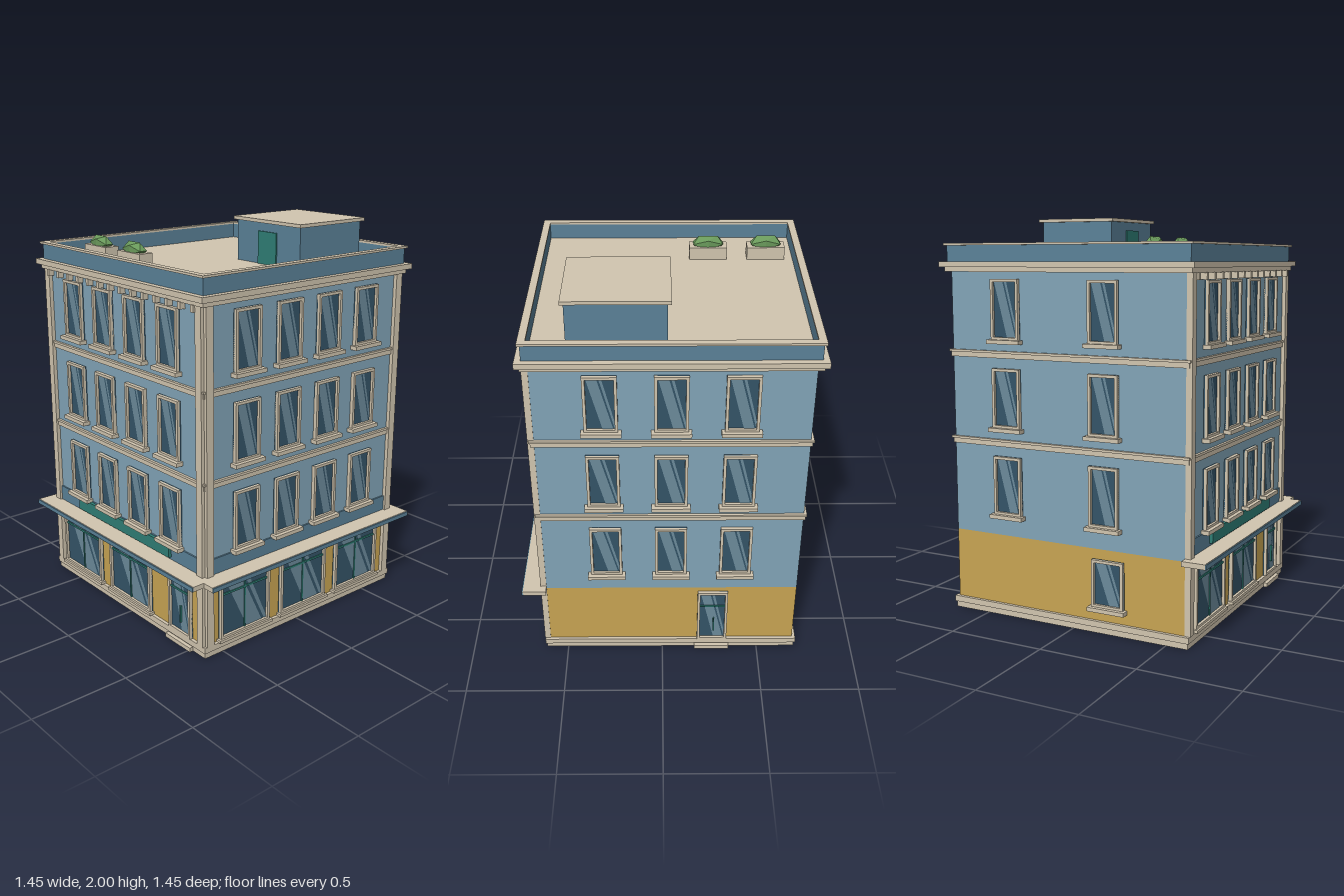
import * as THREE from 'three';

const mat = (color) => new THREE.MeshStandardMaterial({ color });
const M = {
  wall: mat(0x82a5b8), darkBlue: mat(0x5b8299), shop: mat(0xc9a553), trim: mat(0xd2c6b0),
  glass: mat(0x345468), glint: mat(0x6c8b9b), teal: mat(0x2f7f76), leaf: mat(0x6a9a5b),
};
const C = -0.043;   // centre of the block in x and z
const H = 0.645;    // half width of the block

function add(parent, name, geometry, material, x = 0, y = 0, z = 0) {
  const m = new THREE.Mesh(geometry, material);
  m.name = name;
  m.position.set(x, y, z);
  parent.add(m);
  return m;
}
// box given by its extents
const box = (parent, name, material, x0, x1, y0, y1, z0, z1) =>
  add(parent, name, new THREE.BoxGeometry(x1 - x0, y1 - y0, z1 - z0), material,
    (x0 + x1) / 2, (y0 + y1) / 2, (z0 + z1) / 2);
// square slab centred on the block
const slab = (parent, name, material, half, y0, y1) =>
  box(parent, name, material, -half, half, y0, y1, -half, half);

const poly = (pts) => new THREE.Shape(pts.map(([x, y]) => new THREE.Vector2(x, y)));
const rect = (w, h) => [[-w / 2, 0], [w / 2, 0], [w / 2, h], [-w / 2, h]];

// rectangular ring, extruded along +z, standing on y = 0
function ring(w, h, t, depth) {
  const s = poly(rect(w, h));
  s.holes.push(poly(rect(w - 2 * t, h - 2 * t).map(([x, y]) => [x, y + t])));
  return new THREE.ExtrudeGeometry(s, { depth, bevelEnabled: false });
}

// dark pane with two slanted reflections
function pane(g, w, h) {
  box(g, 'glass', M.glass, -w / 2, w / 2, 0, h, -0.01, 0.006);
  const stripe = (a, b, c, d) => add(g, 'glassReflection', new THREE.ShapeGeometry(
    poly([[a * w, 0.04 * h], [b * w, 0.04 * h], [d * w, 0.97 * h], [c * w, 0.97 * h]])), M.glint, 0, 0, 0.0075);
  stripe(0.05, 0.36, -0.40, -0.09);
  stripe(0.41, 0.47, -0.03, 0.05);
}

function opening(face, name, u, y) {
  const g = new THREE.Group();
  g.name = name;
  g.position.set(u, y, H);
  face.add(g);
  return g;
}

// sash window with frame and sill
function sashWindow(face, u, y, w = 0.157, h = 0.295) {
  const g = opening(face, 'window', u, y);
  pane(g, w, h);
  add(g, 'windowFrame', ring(w, h, 0.014, 0.02), M.trim);
  box(g, 'windowSill', M.trim, -w / 2 - 0.015, w / 2 + 0.015, -0.018, 0.002, 0, 0.04);
}

// wide shop window with teal glazing bars
function shopWindow(face, u, w) {
  const g = opening(face, 'shopWindow', u, 0.07);
  const h = 0.325;
  pane(g, w, h);
  add(g, 'shopWindowFrame', ring(w, h, 0.015, 0.02), M.trim);
  box(g, 'transom', M.teal, -w / 2 + 0.015, w / 2 - 0.015, 0.23, 0.24, 0, 0.012);
  box(g, 'mullion', M.teal, -0.004, 0.004, 0.015, 0.31, 0, 0.012);
  box(g, 'shopWindowSill', M.trim, -w / 2 - 0.012, w / 2 + 0.012, -0.012, 0.003, 0, 0.03);
}

// glazed door with transom, handle and step
function door(face, u, w) {
  const g = opening(face, 'door', u, 0.06);
  const h = 0.33;
  pane(g, w, h);
  add(g, 'doorFrame', ring(w, h, 0.013, 0.02), M.trim);
  box(g, 'doorTransom', M.teal, -w / 2 + 0.013, w / 2 - 0.013, 0.226, 0.236, 0, 0.012);
  box(g, 'doorHandle', M.teal, 0.004, 0.011, 0.06, 0.15, 0, 0.018);
  box(g, 'doorStep', M.trim, -w / 2 - 0.013, w / 2 + 0.013, -0.06, -0.038, -0.01, 0.03);
}

export function createModel() {
  const model = new THREE.Group();
  model.name = 'cornerBuilding';
  const block = new THREE.Group();
  block.name = 'block';
  block.position.set(C, 0, C);
  model.add(block);

  // main masses, belt courses and cornice
  slab(block, 'footing', M.trim, 0.655, 0, 0.03);
  slab(block, 'plinth', M.trim, 0.662, 0.03, 0.06);
  slab(block, 'groundFloorWalls', M.shop, H, 0.06, 0.415);
  slab(block, 'upperWalls', M.wall, H, 0.415, 1.745);
  for (const y of [0.867, 1.306]) {
    slab(block, 'beltCourse', M.trim, H + 0.008, y, y + 0.024);
    slab(block, 'beltCourseTop', M.trim, H + 0.014, y + 0.024, y + 0.036);
  }
  slab(block, 'corniceMoulding', M.trim, 0.67, 1.725, 1.748);
  slab(block, 'corniceAndRoof', M.trim, 0.69, 1.748, 1.775);

  // hollow parapet with coping
  const flatRing = (name, half, t, y, d, m) => {
    const r = add(block, name, ring(2 * half, 2 * half, t, d), m, 0, y, half);
    r.rotation.x = -Math.PI / 2;
  };
  flatRing('parapet', 0.66, 0.022, 1.775, 0.08, M.darkBlue);
  flatRing('parapetCoping', 0.672, 0.036, 1.853, 0.011, M.trim);

  // four facades: local x runs along the wall, local z points outward
  const [front, right, back, left] = ['front', 'right', 'back', 'left'].map((n, i) => {
    const f = new THREE.Group();
    f.name = n + 'Facade';
    f.rotation.y = i * Math.PI / 2;
    block.add(f);
    return f;
  });

  // upper windows, floor by floor
  const street = [-1.5, -0.5, 0.5, 1.5].map((k) => k * 0.263);
  const columns = [[front, street], [right, street], [back, [-0.3225, 0, 0.3225]], [left, [-0.325, 0.215]]];
  for (const y of [0.523, 0.961, 1.396])
    for (const [face, us] of columns) us.forEach((u) => sashWindow(face, u, y));

  // ground floor openings
  [-0.397, 0.045].forEach((u) => shopWindow(front, u, 0.355));
  [-0.402, -0.005, 0.39].forEach((u) => shopWindow(right, u, 0.32));
  door(front, 0.463, 0.17);
  door(back, 0.217, 0.155);
  sashWindow(left, 0.235, 0.13, 0.17, 0.235);

  // street sides: corner pilasters, fascia band and canopy
  for (const f of [front, right]) {
    for (const s of [-1, 1])
      box(f, 'pilaster', M.trim, s * 0.627 - 0.021, s * 0.627 + 0.021, 0.06, 1.726, H - 0.01, H + 0.02);
    box(f, 'fasciaBand', M.darkBlue, -0.606, 0.606, 0.43, 0.51, H - 0.01, H + 0.008);
    box(f, 'canopy', M.trim, -0.69, 0.69, 0.405, 0.43, H - 0.01, 0.752);
    box(f, 'canopyEdge', M.darkBlue, -0.69, 0.69, 0.405, 0.427, 0.75, 0.758);
  }
  box(front, 'signBoard', M.teal, -0.402, 0.395, 0.443, 0.508, H, H + 0.024);

  // bracket row under the front cornice
  for (let i = 0; i < 14; i++) {
    const u = -0.598 + i * 0.092;
    box(front, 'corniceBracket', M.trim, u - 0.01, u + 0.01, 1.694, 1.728, H, H + 0.03);
  }

  // rooftop stair house
  const hut = new THREE.Group();
  hut.name = 'stairHouse';
  model.add(hut);
  box(hut, 'stairHouseWalls', M.darkBlue, -0.027, 0.432, 1.77, 1.985, -0.566, -0.143);
  box(hut, 'stairHouseRoof', M.trim, -0.043, 0.447, 1.983, 2, -0.583, -0.128);
  box(hut, 'stairHouseDoor', M.teal, 0.135, 0.268, 1.775, 1.94, -0.15, -0.136);

  // rooftop planters
  const bush = new THREE.IcosahedronGeometry(1, 0);
  const leaf = M.leaf.clone();
  leaf.flatShading = true;
  for (const x of [-0.541, -0.243]) {
    box(model, 'planter', M.trim, x - 0.097, x + 0.097, 1.775, 1.84, 0.32, 0.401);
    add(model, 'planterBush', bush, leaf, x, 1.85, 0.361).scale.set(0.09, 0.046, 0.04);
  }
  return model;
}
